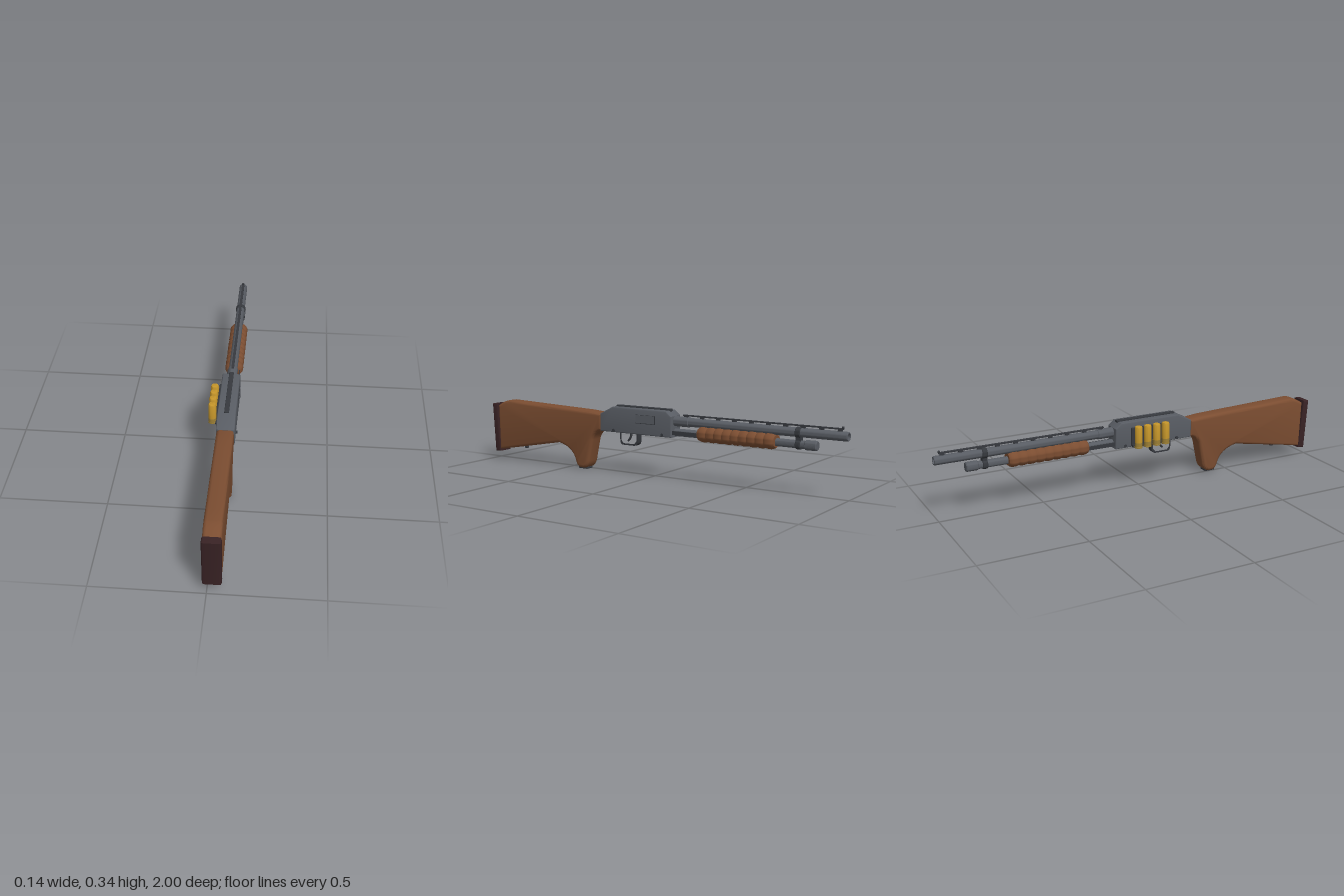
import * as THREE from 'three';
import { toCreasedNormals } from 'three/addons/utils/BufferGeometryUtils.js';
import { RoundedBoxGeometry } from 'three/addons/geometries/RoundedBoxGeometry.js';

const CX = 0.0215; // centre plane of the body

const paint = (name, color) => {
  const m = new THREE.MeshStandardMaterial({ color });
  m.name = name;
  return m;
};

export function createModel() {
  const wood = paint('walnut wood', 0x7b4d31);
  const rubber = paint('dark rubber', 0x382224);
  const steel = paint('gunmetal', 0x585c63);
  const dark = paint('dark steel', 0x36393e);
  const yellow = paint('shell yellow', 0xc4952a);
  const brass = paint('shell brass', 0x9c7f35);

  const model = new THREE.Group();
  model.name = 'shotgun';

  const add = (name, geo, mat, x = 0, y = 0, z = 0) => {
    const mesh = new THREE.Mesh(geo, mat);
    mesh.name = name;
    mesh.position.set(x, y, z);
    model.add(mesh);
    return mesh;
  };
  const box = (name, mat, w, h, d, x, y, z, r = 0) =>
    add(name, r ? new RoundedBoxGeometry(w, h, d, 2, r) : new THREE.BoxGeometry(w, h, d), mat, x, y, z);

  // Side silhouette (shape x = world z) given thickness across x
  const slab = (shape, width, bevel) => {
    const geo = new THREE.ExtrudeGeometry(shape, {
      depth: width - 2 * bevel, bevelEnabled: bevel > 0, bevelThickness: bevel,
      bevelSize: bevel, bevelOffset: -bevel, bevelSegments: 3, curveSegments: 8,
    });
    geo.translate(0, 0, bevel - width / 2);
    geo.rotateY(-Math.PI / 2);
    return toCreasedNormals(geo, 0.6);
  };
  const polygon = (pts) => new THREE.Shape(pts.map(([z, y]) => new THREE.Vector2(z, y)));

  // Turned part along the bore; points are [radius, distance forward]
  const turned = (pts, sides = 28, crease = 0.6) => {
    const geo = new THREE.LatheGeometry(pts.map(([r, f]) => new THREE.Vector2(r, f)), sides);
    geo.rotateX(-Math.PI / 2);
    return toCreasedNormals(geo, crease);
  };
  const rod = (r, f0, f1, c = 0.003) =>
    turned([[0, f0], [r - c, f0], [r, f0 + c], [r, f1 - c], [r - c, f1], [0, f1]]);

  // Stock with pistol grip
  const stock = new THREE.Shape();
  stock.moveTo(0.28, 0.29);
  stock.lineTo(0.28, 0.206);
  stock.quadraticCurveTo(0.325, 0.195, 0.337, 0.155);
  stock.lineTo(0.36, 0.045);
  stock.quadraticCurveTo(0.37, 0.007, 0.4, 0.006);
  stock.lineTo(0.422, 0.007);
  stock.quadraticCurveTo(0.44, 0.015, 0.447, 0.04);
  stock.quadraticCurveTo(0.465, 0.105, 0.555, 0.122);
  stock.lineTo(0.955, 0.05);
  stock.lineTo(0.962, 0.285);
  stock.quadraticCurveTo(0.925, 0.312, 0.89, 0.316);
  stock.quadraticCurveTo(0.6, 0.306, 0.36, 0.298);
  add('stock', slab(stock, 0.08, 0.015), wood, CX);

  // Butt pad, spacer, grip cap and sling stud
  add('buttPad', slab(polygon([[0.948, 0.042], [0.984, 0.038], [1.0, 0.293], [0.966, 0.297]]), 0.083, 0.008), rubber, CX);
  box('gripCap', dark, 0.046, 0.012, 0.055, CX, 0.006, 0.41, 0.004);
  box('slingStud', dark, 0.016, 0.014, 0.018, CX, 0.073, 0.8, 0.004);

  // Receiver
  add('receiver', slab(polygon([
    [0.284, 0.205], [0.284, 0.292], [0.21, 0.33], [-0.1, 0.33], [-0.13, 0.305], [-0.13, 0.205],
  ]), 0.086, 0.006), steel, CX);
  box('receiverTopRail', dark, 0.022, 0.012, 0.315, CX, 0.331, 0.05, 0.003);
  box('ejectionPort', dark, 0.006, 0.042, 0.112, CX + 0.0435, 0.281, 0.014);
  box('portCover', steel, 0.006, 0.038, 0.106, CX + 0.0445, 0.282, 0.014);
  for (const z of [0.2, -0.08]) {
    const pin = new THREE.CylinderGeometry(0.007, 0.007, z > 0 ? 0.1 : 0.09, 14).rotateZ(Math.PI / 2);
    add('receiverPin', pin, dark, CX, 0.216, z);
  }

  // Trigger group
  const guard = new THREE.Shape();
  guard.moveTo(0.184, 0.21);
  guard.lineTo(0.182, 0.16);
  guard.quadraticCurveTo(0.18, 0.143, 0.163, 0.143);
  guard.lineTo(0.098, 0.143);
  guard.quadraticCurveTo(0.079, 0.147, 0.077, 0.166);
  guard.lineTo(0.077, 0.21);
  guard.holes.push(new THREE.Path([
    [0.174, 0.202], [0.174, 0.165], [0.163, 0.151], [0.1, 0.151], [0.086, 0.166], [0.086, 0.202],
  ].map(([z, y]) => new THREE.Vector2(z, y))));
  add('triggerGuard', slab(guard, 0.03, 0), dark, CX);
  const triggerPath = new THREE.CatmullRomCurve3([[0.21, 0.132], [0.19, 0.127], [0.175, 0.134], [0.162, 0.145]]
    .map(([y, z]) => new THREE.Vector3(CX, y, z)));
  add('trigger', new THREE.TubeGeometry(triggerPath, 10, 0.0055, 8), dark);

  // Barrel with open muzzle
  add('barrel', turned([
    [0, 0.1], [0.021, 0.1], [0.021, 0.997], [0.019, 1.0], [0.014, 1.0], [0.014, 0.93],
  ]), steel, CX, 0.281);
  add('bore', turned([[0.0142, 0.995], [0.0138, 0.93], [0, 0.93]]), dark, CX, 0.281);
  add('barrelCollar', rod(0.024, 0.12, 0.21), steel, CX, 0.281);

  // Ventilated rib and bead sight
  box('rib', dark, 0.013, 0.006, 0.8, CX, 0.312, -0.575);
  for (let i = 0; i < 10; i++) box('ribPost', dark, 0.01, 0.014, 0.02, CX, 0.304, -0.19 - i * 0.0855);
  add('beadSight', new THREE.SphereGeometry(0.006, 12, 8), dark, CX, 0.318, -0.972);

  // Magazine tube, end cap and barrel clamp
  add('magazineTube', rod(0.018, 0.1, 0.83), steel, CX, 0.228);
  add('magazineCap', rod(0.0225, 0.8, 0.858, 0.004), steel, CX, 0.228);
  add('barrelRing', rod(0.0255, 0.757, 0.781), dark, CX, 0.281);
  add('magazineRing', rod(0.0225, 0.757, 0.781), dark, CX, 0.228);
  box('clampBridge', dark, 0.026, 0.06, 0.024, CX, 0.254, -0.769);
  for (const s of [-1, 1]) box('actionBar', dark, 0.005, 0.018, 0.19, CX + s * 0.029, 0.228, -0.2);

  // Ribbed forend
  const grip = [[0, 0.265], [0.034, 0.265], [0.039, 0.269]];
  const ribs = 9, start = 0.272, pitch = 0.0425;
  for (let i = 0; i < ribs; i++) {
    for (const [t, r] of [[0, 0.0395], [0.15, 0.043], [0.35, 0.045], [0.65, 0.045], [0.85, 0.043]]) {
      grip.push([r, start + (i + t) * pitch]);
    }
  }
  grip.push([0.0395, 0.655], [0.034, 0.66], [0, 0.66]);
  const forend = turned(grip, 32, 0.7);
  forend.scale(1, 0.84, 1);
  add('forend', forend, wood, CX, 0.232);

  // Side saddle with spare shells
  box('shellPlate', dark, 0.009, 0.088, 0.2, -0.0265, 0.259, 0.048, 0.003);
  box('shellLedge', dark, 0.022, 0.014, 0.19, -0.026, 0.213, 0.048, 0.003);
  const shellCase = toCreasedNormals(new THREE.LatheGeometry([
    [0, 0.232], [0.0185, 0.232], [0.0185, 0.307], [0.016, 0.313], [0.011, 0.315], [0, 0.313],
  ].map(([r, y]) => new THREE.Vector2(r, y)), 20), 0.6);
  const shellHead = toCreasedNormals(new THREE.LatheGeometry([
    [0, 0.208], [0.0195, 0.208], [0.0195, 0.213], [0.0188, 0.214], [0.0188, 0.235], [0.017, 0.236],
  ].map(([r, y]) => new THREE.Vector2(r, y)), 20), 0.6);
  for (let i = 0; i < 4; i++) {
    const z = -0.025 + i * 0.0487;
    add('shellCase', shellCase, yellow, -0.052, 0, z);
    add('shellHead', shellHead, brass, -0.052, 0, z);
  }

  return model;
}
